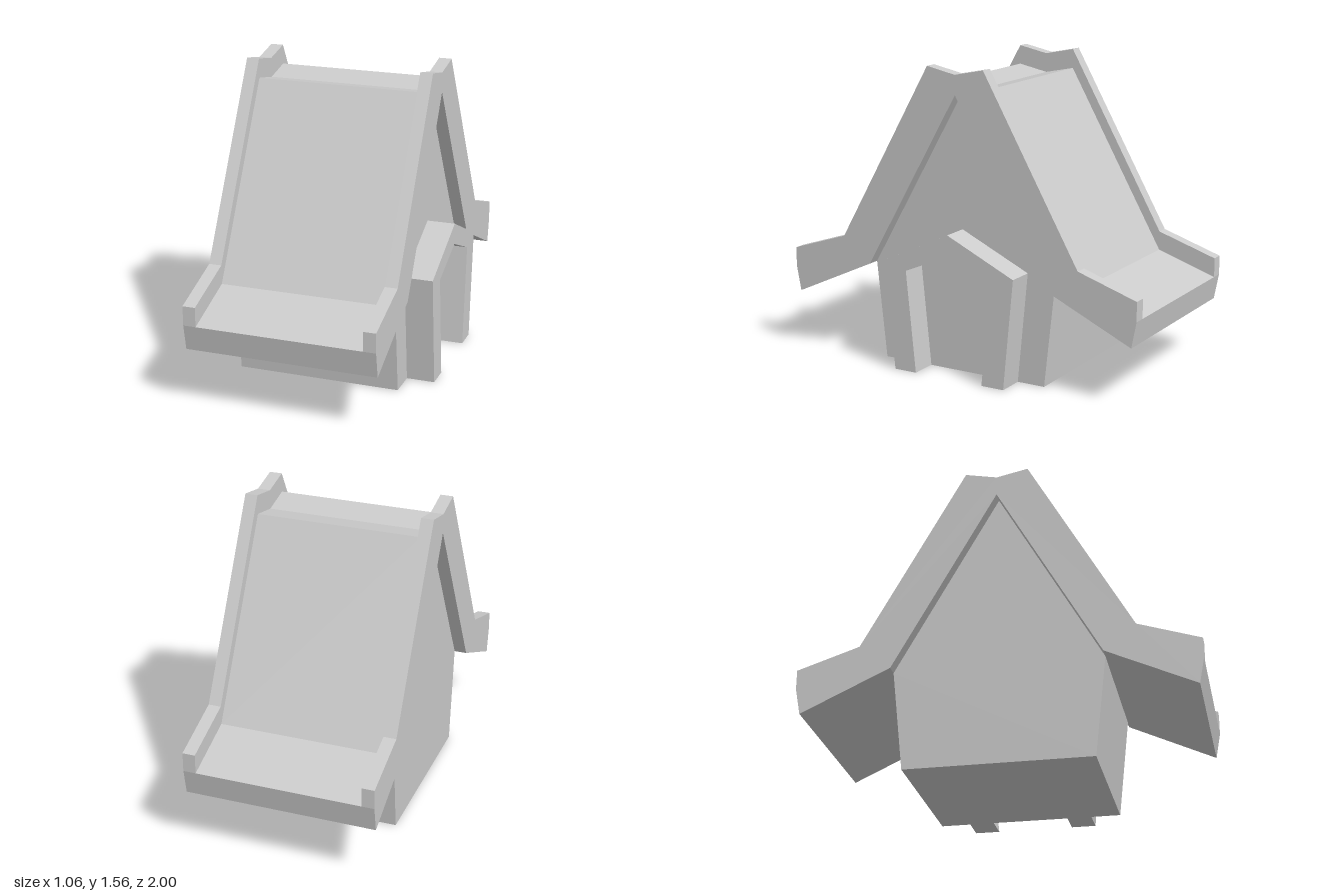
import * as THREE from 'three';

const material = new THREE.MeshStandardMaterial({ color: 0xcccccc, flatShading: true });

// Extrudes a [z, y] outline along x from x0 to x1
function slab(name, outline, x0, x1) {
  const shape = new THREE.Shape(outline.map(([z, y]) => new THREE.Vector2(z, y)));
  const geometry = new THREE.ExtrudeGeometry(shape, { depth: x1 - x0, bevelEnabled: false });
  geometry.rotateY(-Math.PI / 2).translate(x1, 0, 0);
  const mesh = new THREE.Mesh(geometry, material);
  mesh.name = name;
  return mesh;
}

// Completes a half outline by mirroring it across z = 0
const mirrored = (half) => [
  ...half,
  ...half.filter(([z]) => z !== 0).reverse().map(([z, y]) => [-z, y]),
];

export function createModel() {
  const group = new THREE.Group();
  group.name = 'house';
  const wallMin = -0.465, wallMax = 0.385, rim = 0.065;

  // Gabled body, slightly flared towards the eaves
  group.add(slab('walls', mirrored([[0.47, 0], [0.525, 0.51], [0, 1.43]]), wallMin, wallMax));

  // Roof surface, sunk 0.1 below the gable rims
  const underside = [[0.525, 0.51], [0.975, 0.302], [1, 0.435]];
  const panel = [[0, 1.43], ...underside, [0.685, 0.54], [0.16, 1.463]];
  for (const side of [1, -1]) {
    const outline = panel.map(([z, y]) => [side * z, y]);
    group.add(slab(side > 0 ? 'frontRoof' : 'backRoof', outline, wallMin, wallMax));
  }

  // Raised rims with notched ridge at both gable ends
  const top = [[1, 0.535], [0.685, 0.638], [0.16, 1.563], [0, 1.53]];
  const right = [...underside, ...top];
  const left = right.slice(0, -1).reverse().map(([z, y]) => [-z, y]);
  const rimOutline = [[0, 1.43], ...right, ...left];
  group.add(slab('leftGableRim', rimOutline, wallMax, wallMax + rim));
  group.add(slab('rightGableRim', rimOutline, wallMin - rim, wallMin));

  // Pointed door surround, open at the bottom
  const outer = mirrored([[0.32, 0], [0.375, 0.57], [0, 0.745]]);
  const inner = mirrored([[0.195, 0], [0.248, 0.53], [0, 0.635]]);
  group.add(slab('doorFrame', [...outer, ...inner.reverse()], wallMax, 0.53));

  return group;
}
